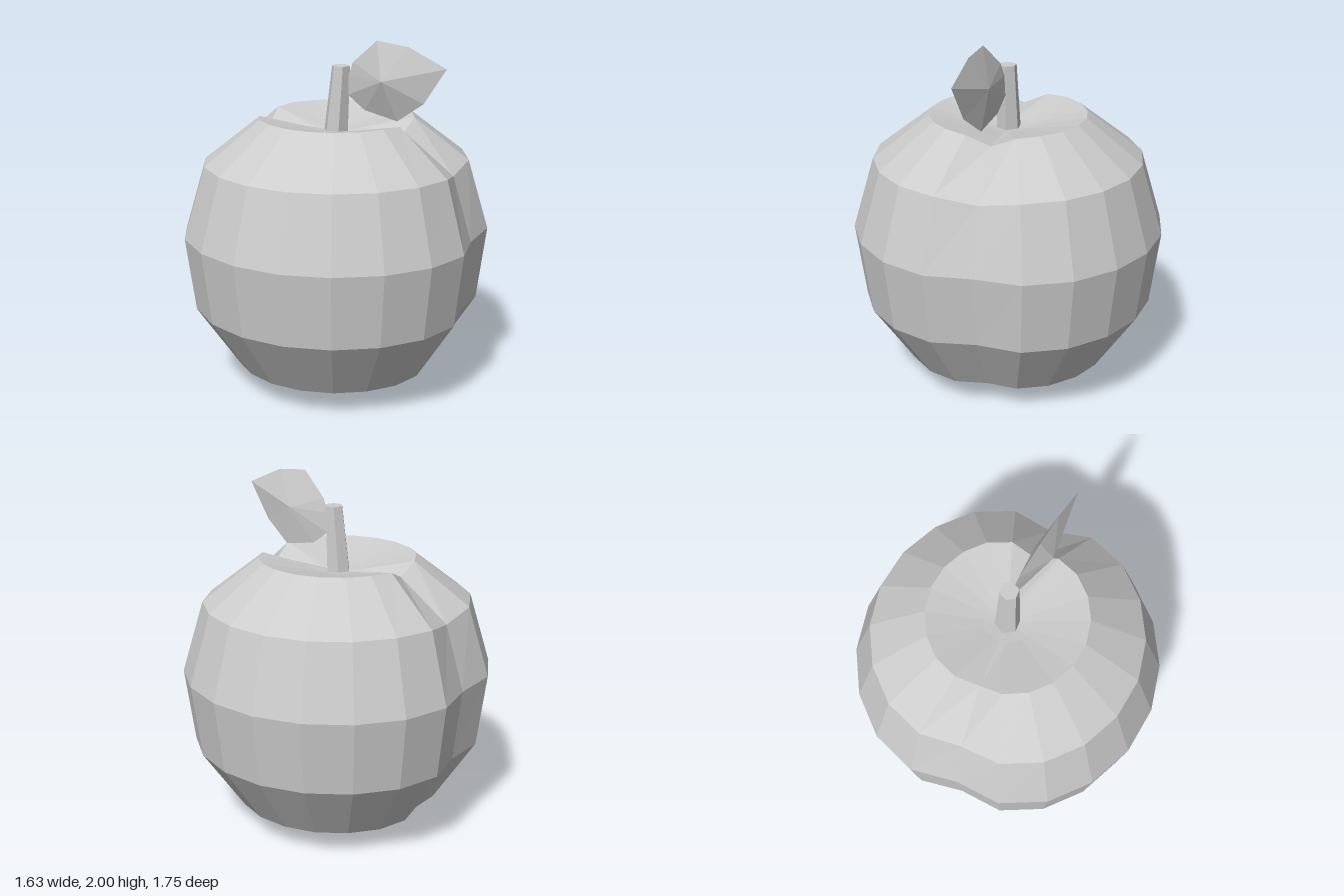
import * as THREE from 'three';

const SIDES = 20;
const grey = new THREE.MeshStandardMaterial({ color: 0xcccccc });
grey.name = 'plain grey';

// Faceted mesh from a list of triangles, each made of three [x, y, z] points
function facetMesh(name, triangles) {
  const geometry = new THREE.BufferGeometry();
  geometry.setAttribute('position', new THREE.Float32BufferAttribute(triangles.flat(2), 3));
  geometry.computeVertexNormals();
  const mesh = new THREE.Mesh(geometry, grey);
  mesh.name = name;
  return mesh;
}

// Joins rings of equal length, listed from outside-bottom to inside-top
function loft(rings) {
  const triangles = [];
  for (let i = 0; i + 1 < rings.length; i++) {
    const a = rings[i], b = rings[i + 1], n = a.length;
    for (let j = 0; j < n; j++) {
      const k = (j + 1) % n;
      triangles.push([a[j], a[k], b[k]], [a[j], b[k], b[j]]);
    }
  }
  // Drop the collapsed triangles at the poles
  const same = (p, q) => p.every((v, i) => Math.abs(v - q[i]) < 1e-6);
  return triangles.filter(([p, q, r]) => !same(p, q) && !same(q, r) && !same(r, p));
}

// Fruit: [radius, height, drop of the side groove]
function createFruit() {
  const profile = [
    [0, 0, 0], [0.225, 0, 0], [0.58, 0.14, 0], [0.82, 0.495, 0], [0.875, 0.912, 0.008],
    [0.755, 1.315, 0.045], [0.44, 1.56, 0.065], [0.13, 1.49, 0.01], [0, 1.47, 0],
  ];
  const rings = profile.map(([r, y, drop]) => Array.from({ length: SIDES }, (_, j) => {
    const angle = j / SIDES * Math.PI * 2;
    // The left and right sides are pinched into a groove
    const fromGroove = Math.abs(j % 10 - 5);
    const pinch = fromGroove === 0 ? 0.897 : fromGroove === 1 ? 0.98 : 1;
    const sink = fromGroove === 0 ? drop : fromGroove === 1 ? drop * 0.12 : 0;
    return [Math.sin(angle) * r * pinch, y - sink, Math.cos(angle) * r * pinch];
  }));
  return facetMesh('fruit', loft(rings));
}

// Stem: a tapered six-sided post leaning to one side
function createStem() {
  const ring = (x, y, r) => Array.from({ length: 6 }, (_, j) => {
    const angle = j / 6 * Math.PI * 2 + Math.PI / 6;
    return [x + Math.sin(angle) * r, y, Math.cos(angle) * r];
  });
  return facetMesh('stem', loft([ring(-0.005, 1.46, 0.07), ring(0.025, 1.84, 0.052), ring(0.025, 1.84, 0)]));
}

// Leaf: a thin faceted lens, rim listed anticlockwise from the front
function createLeaf() {
  const rim = [
    [0.065, 1.68, 0], [0.17, 1.605, 0.02], [0.37, 1.565, 0.06], [0.53, 1.68, 0.11], [0.66, 1.88, 0.135],
    [0.44, 1.98, 0.105], [0.255, 2.0, 0.075], [0.1, 1.865, 0.02], [0.07, 1.79, 0.005],
  ];
  const front = [0.3, 1.79, 0.137], back = [0.33, 1.79, 0.025];
  const triangles = rim.flatMap((p, i) => {
    const q = rim[(i + 1) % rim.length];
    return [[p, q, front], [q, p, back]];
  });
  return facetMesh('leaf', triangles);
}

export function createModel() {
  const model = new THREE.Group();
  model.name = 'apple';
  model.add(createFruit(), createStem(), createLeaf());
  return model;
}
